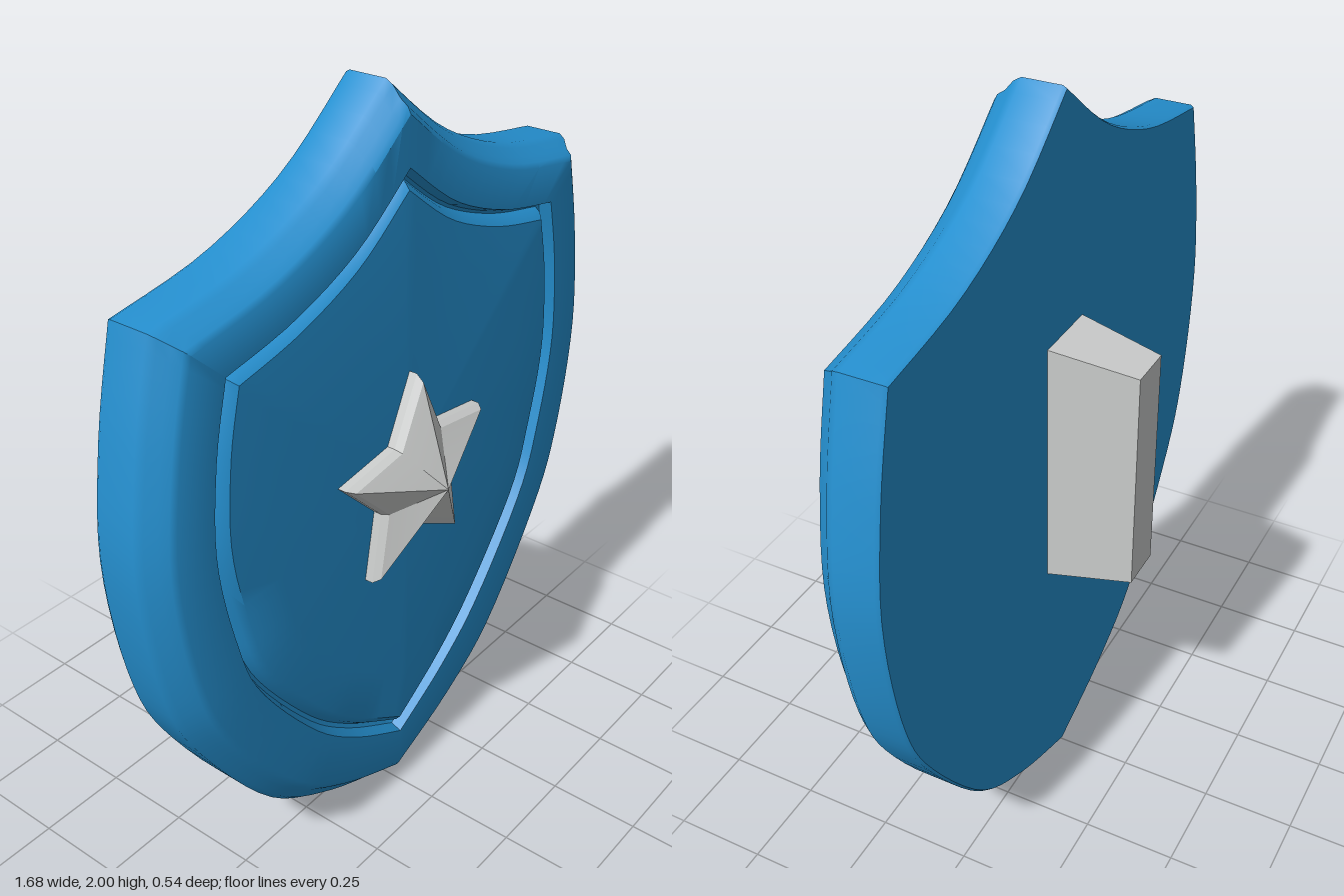
import * as THREE from 'three';
import { toCreasedNormals } from 'three/addons/utils/BufferGeometryUtils.js';

const CENTRE_Y = 1.03;

// Closed outline, clockwise from the top tip: concave shoulder, bulging side, mirrored
function outline(shoulder, side) {
  const sample = (pts, n) =>
    new THREE.SplineCurve(pts.map(([x, y]) => new THREE.Vector2(x, y))).getPoints(n);
  const half = [...sample(shoulder, 14), ...sample(side, 36).slice(1)];
  const mirrored = half.slice(1, -1).reverse().map(p => new THREE.Vector2(-p.x, p.y));
  return [...half, ...mirrored];
}

// Joins rings of equal length into a skin; rings run from the back to the front
function loft(rings) {
  const pos = [];
  const put = (...pts) => pts.forEach(p => pos.push(p.x, p.y, p.z));
  for (let i = 0; i < rings.length - 1; i++) {
    const n = rings[i].length;
    for (let j = 0; j < n; j++) {
      const k = (j + 1) % n;
      const a = rings[i][j], b = rings[i][k], c = rings[i + 1][j], d = rings[i + 1][k];
      if (!a.equals(b)) put(a, c, b);
      if (!c.equals(d)) put(b, c, d);
    }
  }
  const g = new THREE.BufferGeometry();
  g.setAttribute('position', new THREE.Float32BufferAttribute(pos, 3));
  return g;
}

function shieldGeometry() {
  const outer = outline(
    [[0, 2], [0.22, 1.835], [0.47, 1.73], [0.75, 1.68]],
    [[0.75, 1.68], [0.81, 1.42], [0.84, 1.13], [0.795, 0.8], [0.7, 0.57], [0.47, 0.25], [0.25, 0.1], [0, 0]]);
  const inner = outline(
    [[0, 1.8], [0.18, 1.67], [0.39, 1.585], [0.6, 1.54]],
    [[0.6, 1.54], [0.64, 1.36], [0.655, 1.13], [0.61, 0.89], [0.54, 0.7], [0.35, 0.45], [0.19, 0.31], [0, 0.195]]);
  // [blend from outer to inner outline, z, scale about the centre]
  const profile = [
    [0, -0.045, 0], [0.03, -0.045, 1], [0, -0.035, 1], [0, 0.065, 1],
    [0.06, 0.085, 1], [0.18, 0.105, 1], [0.25, 0.125, 1], [0.33, 0.134, 1],
    [0.93, 0.136, 1], [0.99, 0.105, 1], [1.04, 0.1, 1],
    [1.1, 0.12, 1], [1.19, 0.134, 1], [1.19, 0.142, 0.8], [1.19, 0.145, 0],
  ];
  const rings = profile.map(([t, z, s]) => outer.map((p, i) => {
    const q = p.clone().lerp(inner[i], t);
    return new THREE.Vector3(q.x * s, CENTRE_Y + (q.y - CENTRE_Y) * s, z);
  }));
  return toCreasedNormals(loft(rings), 0.6);
}

// Five-pointed star with straight edges rising to a central peak
function starGeometry() {
  const ring = (grow, z) => Array.from({ length: 10 }, (_, i) => {
    const r = (i % 2 ? 0.142 : 0.285) * grow, a = i * Math.PI / 5;
    return new THREE.Vector3(Math.sin(a) * r, Math.cos(a) * r, z);
  });
  const g = loft([ring(1, 0.12), ring(1, 0.165), ring(0.94, 0.185), ring(0, 0.268)]);
  return toCreasedNormals(g, 0.3);
}

// Upright block narrowing towards the back
function handleGeometry() {
  const g = new THREE.BoxGeometry(1, 1, 1);
  const p = g.attributes.position;
  for (let i = 0; i < p.count; i++) {
    const back = p.getZ(i) < 0;
    p.setXYZ(i,
      p.getX(i) * (back ? 0.12 : 0.185),
      p.getY(i) * (back ? 0.615 : 0.685),
      back ? -0.268 : -0.04);
  }
  g.computeVertexNormals();
  return g;
}

export function createModel() {
  const blue = new THREE.MeshStandardMaterial({ color: 0x2590d0 });
  blue.name = 'blue';
  const silver = new THREE.MeshStandardMaterial({ color: 0xcacccb });
  silver.name = 'silver';

  const group = new THREE.Group();
  group.name = 'shield';
  const add = (name, geometry, material, y = 0) => {
    const mesh = new THREE.Mesh(geometry, material);
    mesh.name = name;
    mesh.position.y = y;
    group.add(mesh);
  };
  add('shieldBody', shieldGeometry(), blue);
  add('star', starGeometry(), silver, CENTRE_Y);
  add('handle', handleGeometry(), silver, 1.052);
  return group;
}
